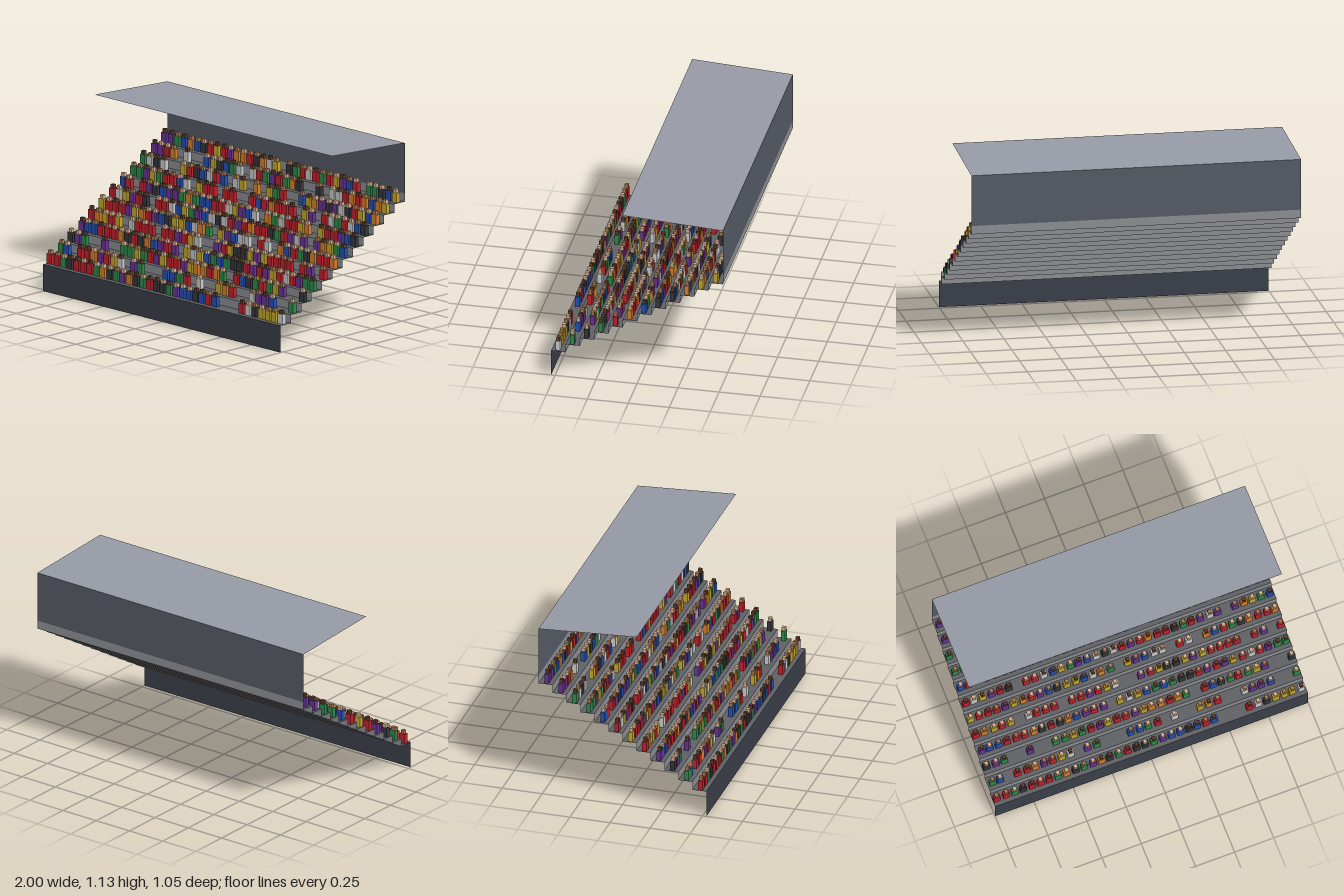
import * as THREE from 'three';
import { mergeGeometries } from 'three/addons/utils/BufferGeometryUtils.js';

const ROWS = 12, SEATS = 36;
const DEPTH = 1.047 / ROWS, RISE = 0.0516, BASE = 0.165, FRONT = 0.5235;

const SHIRTS = {
  r: 0xc4202c, b: 0x2450b4, g: 0x2e8b4a, y: 0xc4a82c, o: 0xd9802a,
  p: 0x6a3396, w: 0xd4d4d4, k: 0x35363a,
};
const SKINS = [0xd9b08c, 0xa87850, 0x5c3a28];

// Seat plan of the lower rows, one letter per shirt, dot for an empty seat
const PLAN = [
  'rrgkrrrgokgpokgrkkgpbbkbrb...rwkyyyw',
  'gb.rropryw.pg...bbgr.w..yor..wppb..g',
  'kpg..p..ggygrpyrrpyoorog.rbkgrgyp..k',
  'pbbrrrokrkobprp.ywybgbgkkrprpyrwrpgg',
  'royry.wrrr.rrpryw..prykkypyrrrr.rp.r',
];
const END_SHIRTS = 'wgkgrobkkoyy';

function seededRandom(seed) {
  let s = seed;
  return () => (s = (s * 16807) % 2147483647) / 2147483647;
}

// Thin sheet across the full width, between two (y, z) edges
function sheet(y0, z0, y1, z1) {
  const g = new THREE.PlaneGeometry(2, Math.hypot(y1 - y0, z1 - z0));
  g.rotateX(Math.atan2(z1 - z0, y1 - y0));
  g.translate(0, (y0 + y1) / 2, (z0 + z1) / 2);
  return g;
}

function addMesh(parent, name, geometry, color, side = THREE.FrontSide) {
  const mesh = new THREE.Mesh(geometry, new THREE.MeshStandardMaterial({ color, side, flatShading: true }));
  mesh.name = name;
  parent.add(mesh);
}

function block(w, h, d, x, bottom, z) {
  return new THREE.BoxGeometry(w, h, d).translate(x, bottom + h / 2, z);
}

export function createModel() {
  const model = new THREE.Group();
  model.name = 'grandstand';
  const rand = seededRandom(4711);

  // Stepped terrace: each tread has a riser at its back
  const treads = [], risers = [];
  for (let i = 0; i < ROWS; i++) {
    const y = BASE + i * RISE, z = FRONT - i * DEPTH;
    treads.push(sheet(y, z, y, z - DEPTH));
    risers.push(sheet(y, z - DEPTH, y + RISE, z - DEPTH));
  }
  addMesh(model, 'treads', mergeGeometries(treads), 0x5e6064, THREE.DoubleSide);
  addMesh(model, 'risers', mergeGeometries(risers), 0x8c8e92, THREE.DoubleSide);

  // Front wall, back wall and the roof rising towards the front
  addMesh(model, 'frontWall', sheet(0, FRONT, BASE, FRONT), 0x3a3e48, THREE.DoubleSide);
  addMesh(model, 'backWall', sheet(BASE + ROWS * RISE, -FRONT, 1.095, -FRONT), 0x555a64, THREE.DoubleSide);
  addMesh(model, 'roof', sheet(1.095, -FRONT, 1.13, 0.09), 0x9599a4, THREE.DoubleSide);

  // Spectators, gathered by shirt and skin colour
  const bodies = {}, heads = SKINS.map(() => []);
  const letters = Object.keys(SHIRTS);
  for (let row = 0; row < ROWS; row++) {
    const y = BASE + row * RISE + 0.002, z = FRONT - row * DEPTH - 0.039;
    for (let seat = 0; seat < SEATS; seat++) {
      let shirt = PLAN[row]?.[seat];
      if (!shirt) {
        const pick = rand();
        shirt = pick < 0.12 ? '.' : pick < 0.28 ? 'r' : letters[Math.floor(rand() * letters.length)];
        if (seat === SEATS - 1) shirt = END_SHIRTS[row];
      }
      if (shirt === '.') continue;
      const x = (seat + 0.5) * (2 / SEATS) - 1 + (rand() - 0.5) * 0.008;
      const h = 0.058 + rand() * 0.005;
      (bodies[shirt] ??= []).push(block(0.041, h, 0.027, x, y, z));
      heads[Math.floor(rand() * SKINS.length)].push(block(0.022, 0.023, 0.022, x, y + h, z));
    }
  }
  const crowd = new THREE.Group();
  crowd.name = 'spectators';
  for (const [key, list] of Object.entries(bodies)) addMesh(crowd, 'bodies', mergeGeometries(list), SHIRTS[key]);
  heads.forEach((list, i) => addMesh(crowd, 'heads', mergeGeometries(list), SKINS[i]));
  model.add(crowd);
  return model;
}
